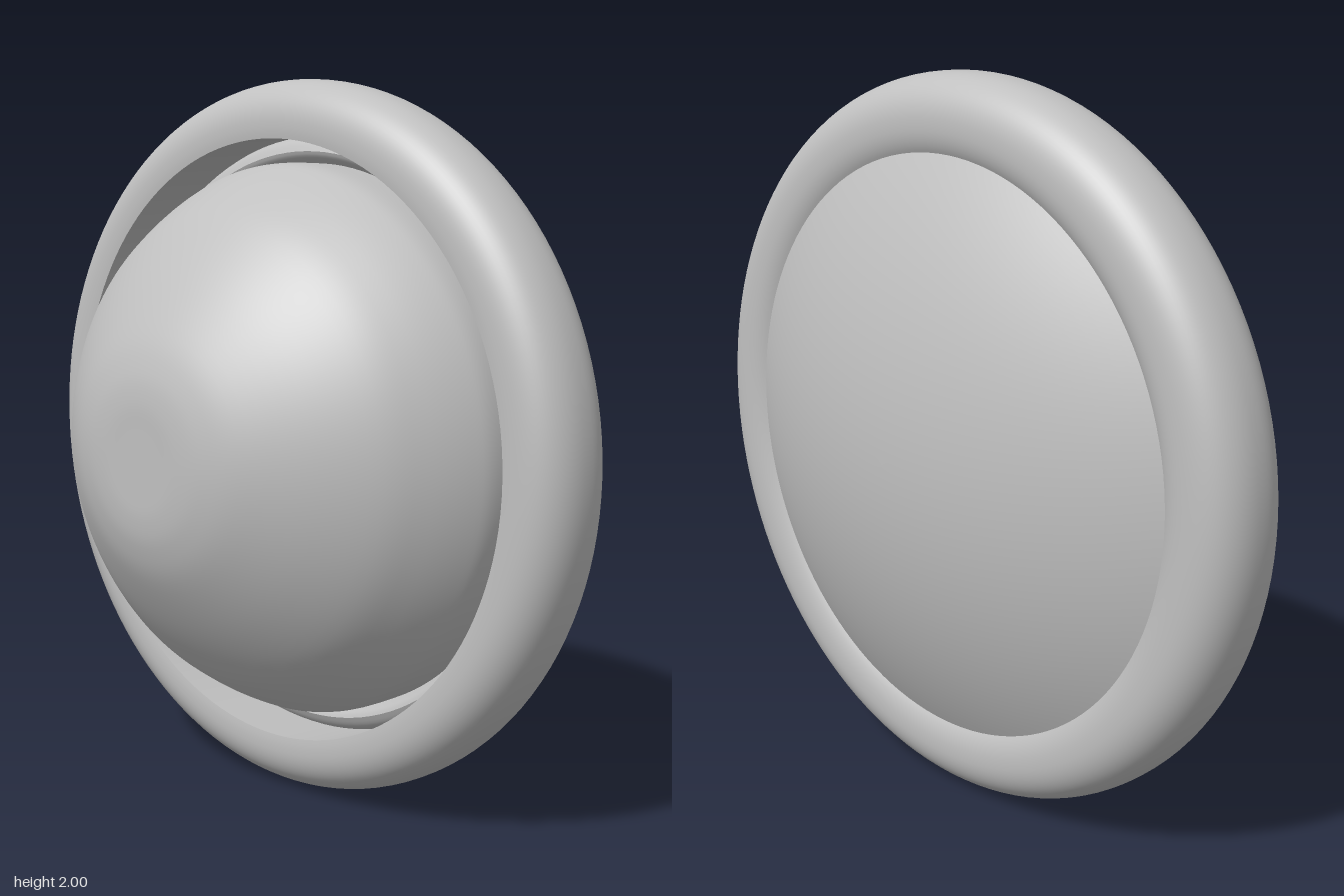
import * as THREE from 'three';

const SEGMENTS = 128;

export function createModel() {
  const group = new THREE.Group();
  const grey = new THREE.MeshStandardMaterial({ color: 0xc0c0c0 });
  grey.name = 'light grey';
  grey.side = THREE.DoubleSide;

  // Turns a profile of [radius, z] points about the z axis, back to front
  function turned(name, profile, smooth = 0) {
    let pts = profile.map(([r, z]) => new THREE.Vector2(r, z));
    if (smooth) pts = new THREE.SplineCurve(pts).getPoints(smooth);
    pts.forEach((p) => { p.x = Math.max(p.x, 0); });
    const geometry = new THREE.LatheGeometry(pts, SEGMENTS);
    geometry.rotateX(Math.PI / 2);
    const mesh = new THREE.Mesh(geometry, grey);
    mesh.name = name;
    mesh.position.y = 1;
    group.add(mesh);
  }

  // Shallow spherical back cover
  const R = 1.615;
  const back = [];
  for (let i = 0; i <= 24; i++) {
    const r = 0.81 * i / 24;
    back.push([r, -0.46 + R - Math.sqrt(R * R - r * r)]);
  }
  turned('backCover', back);

  // Rounded outer ring, swept from the back seam round to the front lip
  const ring = [];
  const signedPow = (v) => Math.sign(v) * Math.abs(v) ** (2 / 2.25);
  for (let i = 0; i <= 40; i++) {
    const a = THREE.MathUtils.degToRad(-124 + (226 * i) / 40);
    ring.push([0.87 + 0.13 * signedPow(Math.cos(a)), -0.134 + 0.134 * signedPow(Math.sin(a))]);
  }
  turned('outerRing', ring);
  const lip = ring[ring.length - 1];

  // Recess wall and the sharp-crested bead around the dome
  turned('innerWall', [lip, [0.847, -0.19]]);
  turned('beadOuter', [[0.847, -0.19], [0.832, -0.162], [0.805, -0.145]], 8);
  turned('beadInner', [[0.805, -0.145], [0.788, -0.155], [0.77, -0.185]], 8);

  // Front dome with a small flattened tip
  turned('frontDome', [
    [0.772, -0.185], [0.772, -0.07], [0.75, 0], [0.695, 0.1], [0.62, 0.2], [0.49, 0.31],
    [0.34, 0.405], [0.24, 0.445], [0.16, 0.459], [0.08, 0.46], [0, 0.46],
  ], 48);

  return group;
}
